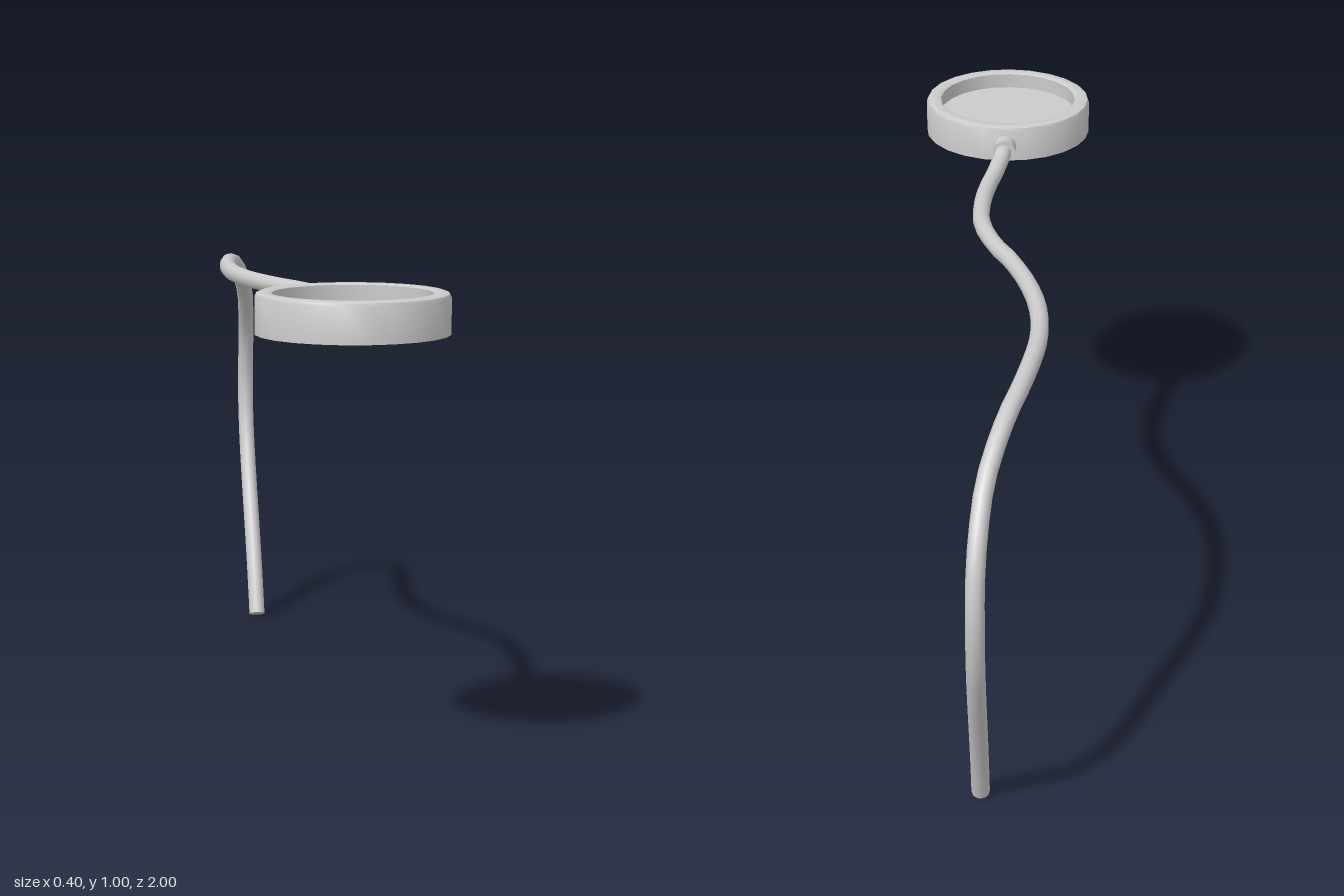
import * as THREE from 'three';
import { toCreasedNormals } from 'three/addons/utils/BufferGeometryUtils.js';

const material = new THREE.MeshStandardMaterial({ color: 0xcccccc });

function part(name, geometry, parent) {
  const mesh = new THREE.Mesh(geometry, material);
  mesh.name = name;
  parent.add(mesh);
  return mesh;
}

export function createModel() {
  const model = new THREE.Group();
  model.name = 'dishWithCable';

  // Round dish: flat underside, softened rim, shallow recess
  const profile = [
    [0, 0.915], [0.2, 0.915], [0.2, 0.99], [0.197, 0.997], [0.19, 1],
    [0.17, 1], [0.165, 0.997], [0.165, 0.962], [0, 0.962],
  ].map(([r, y]) => new THREE.Vector2(r, y));
  const dish = part('dish', toCreasedNormals(new THREE.LatheGeometry(profile, 24), 0.6), model);
  dish.position.z = 0.8;

  // Short collar where the cable enters the dish
  const collar = part('collar',
    toCreasedNormals(new THREE.CylinderGeometry(0.027, 0.027, 0.05, 12), 0.6), model);
  collar.rotation.x = Math.PI / 2;
  collar.position.set(0, 0.953, 0.59);

  // Cable: snakes backwards, then curls down to the ground
  const path = new THREE.CatmullRomCurve3([
    [0, 0.953, 0.59], [0.004, 0.95, 0.55], [0.018, 0.932, 0.49], [0.035, 0.926, 0.4],
    [0.042, 0.926, 0.29], [0.036, 0.927, 0.19], [0, 0.928, 0.07], [-0.033, 0.929, 0],
    [-0.075, 0.93, -0.12], [-0.103, 0.931, -0.25], [-0.11, 0.932, -0.4],
    [-0.085, 0.932, -0.6], [-0.05, 0.907, -0.74], [-0.016, 0.83, -0.855],
    [-0.003, 0.73, -0.94], [0, 0.65, -0.97], [0, 0.57, -0.979], [0, 0.46, -0.96],
    [0, 0.35, -0.913], [0, 0.23, -0.85], [0, 0.11, -0.79], [0, 0.007, -0.747],
  ].map((p) => new THREE.Vector3(...p)));
  const radius = 0.02;
  part('cable', new THREE.TubeGeometry(path, 44, radius, 10), model);

  // Flat cap closing the free end
  const cap = part('cableEnd', new THREE.CircleGeometry(radius, 10), model);
  cap.position.copy(path.getPointAt(1));
  cap.quaternion.setFromUnitVectors(new THREE.Vector3(0, 0, 1), path.getTangentAt(1));

  return model;
}
